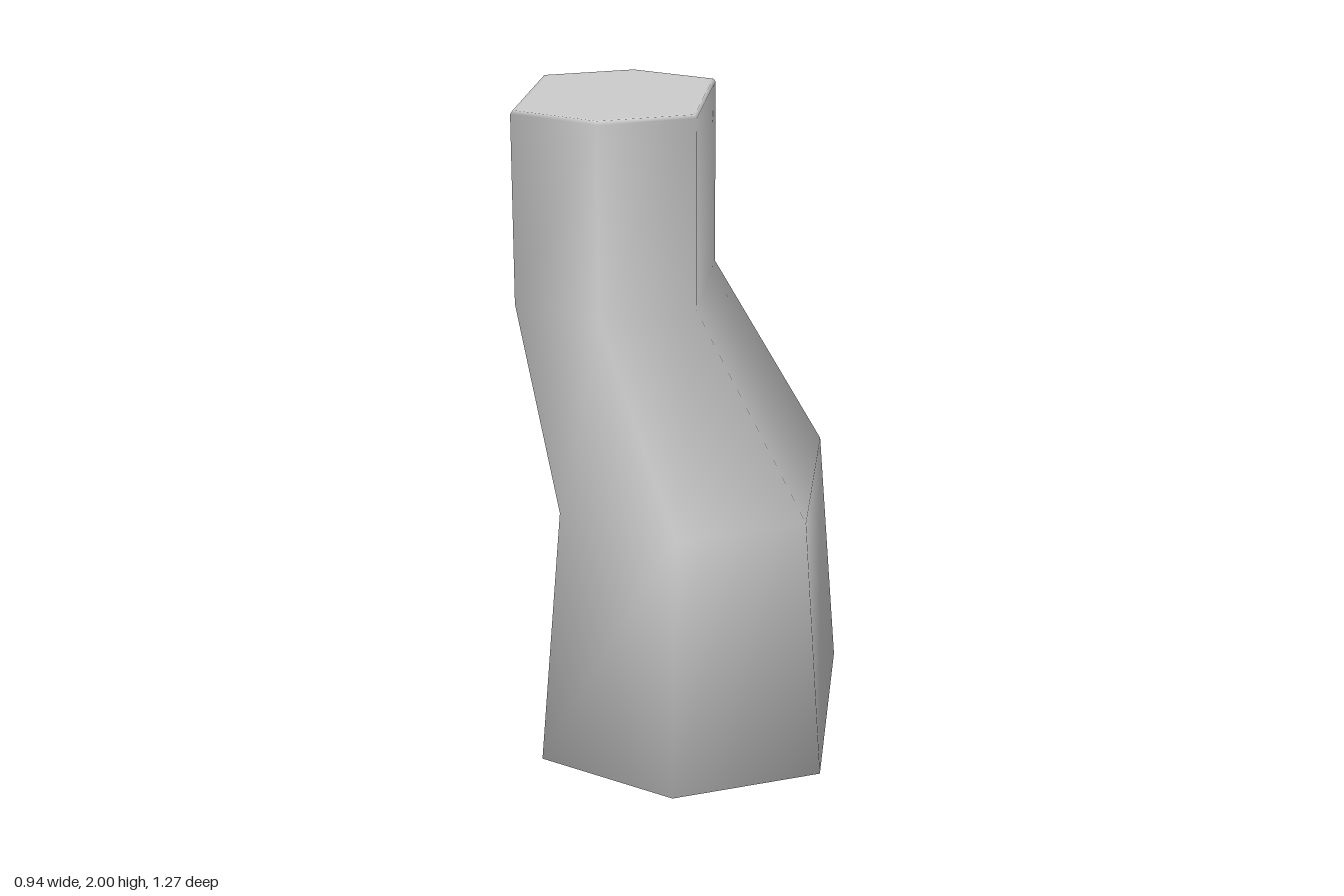
import * as THREE from 'three';

// Hexagonal cross-sections from bottom to top: [y, centre x, half width, half depth, corner depth]
const BASE = [0.04, 0.43, 0.635, 0.43];
const NECK = [-0.2, 0.27, 0.4, 0.275];
const scaled = ([cx, ...s], k) => [cx, ...s.map((v) => v * k)];
const SECTIONS = [
  [0, ...scaled(BASE, 0.9)], // inner edge of the underside
  [0, ...BASE],
  [0.8, 0.04, 0.37, 0.55, 0.375],
  [1.42, ...NECK],
  [1.99, ...NECK],
  [2, ...scaled(NECK, 0.975)], // narrow bevel at the top
  [2, ...scaled(NECK, 0.93)],
];
const SIDES = 6;

function hexagon([y, cx, w, d, c]) {
  return [[0, d], [w, c], [w, -c], [0, -d], [-w, -c], [-w, c]].flatMap(([x, z]) => [cx + x, y, z]);
}

function loftedHexagons() {
  const positions = SECTIONS.flatMap(hexagon);
  const index = [];
  const rings = SECTIONS.length;
  const bottom = rings * SIDES;
  const top = bottom + 1;
  positions.push(BASE[0], 0, 0, NECK[0], 2, 0);

  for (let i = 0; i < SIDES; i++) {
    const n = (i + 1) % SIDES;
    // walls
    for (let r = 0; r < rings - 1; r++) {
      const a = r * SIDES + i, b = r * SIDES + n;
      index.push(a, b, b + SIDES, a, b + SIDES, a + SIDES);
    }
    // end caps
    const last = (rings - 1) * SIDES;
    index.push(bottom, n, i, top, last + i, last + n);
  }

  const geometry = new THREE.BufferGeometry();
  geometry.setAttribute('position', new THREE.Float32BufferAttribute(positions, 3));
  geometry.setIndex(index);
  geometry.computeVertexNormals();

  // soften the bottom rim by leaning its normals downwards
  const normals = geometry.attributes.normal;
  const v = new THREE.Vector3();
  for (let i = SIDES; i < 2 * SIDES; i++) {
    v.fromBufferAttribute(normals, i);
    v.y -= 0.5;
    v.normalize();
    normals.setXYZ(i, v.x, v.y, v.z);
  }
  return geometry;
}

export function createModel() {
  const model = new THREE.Group();
  model.name = 'chimney';
  const body = new THREE.Mesh(loftedHexagons(), new THREE.MeshStandardMaterial({ color: 0xcccccc }));
  body.name = 'bentHexagonalBody';
  model.add(body);
  return model;
}
